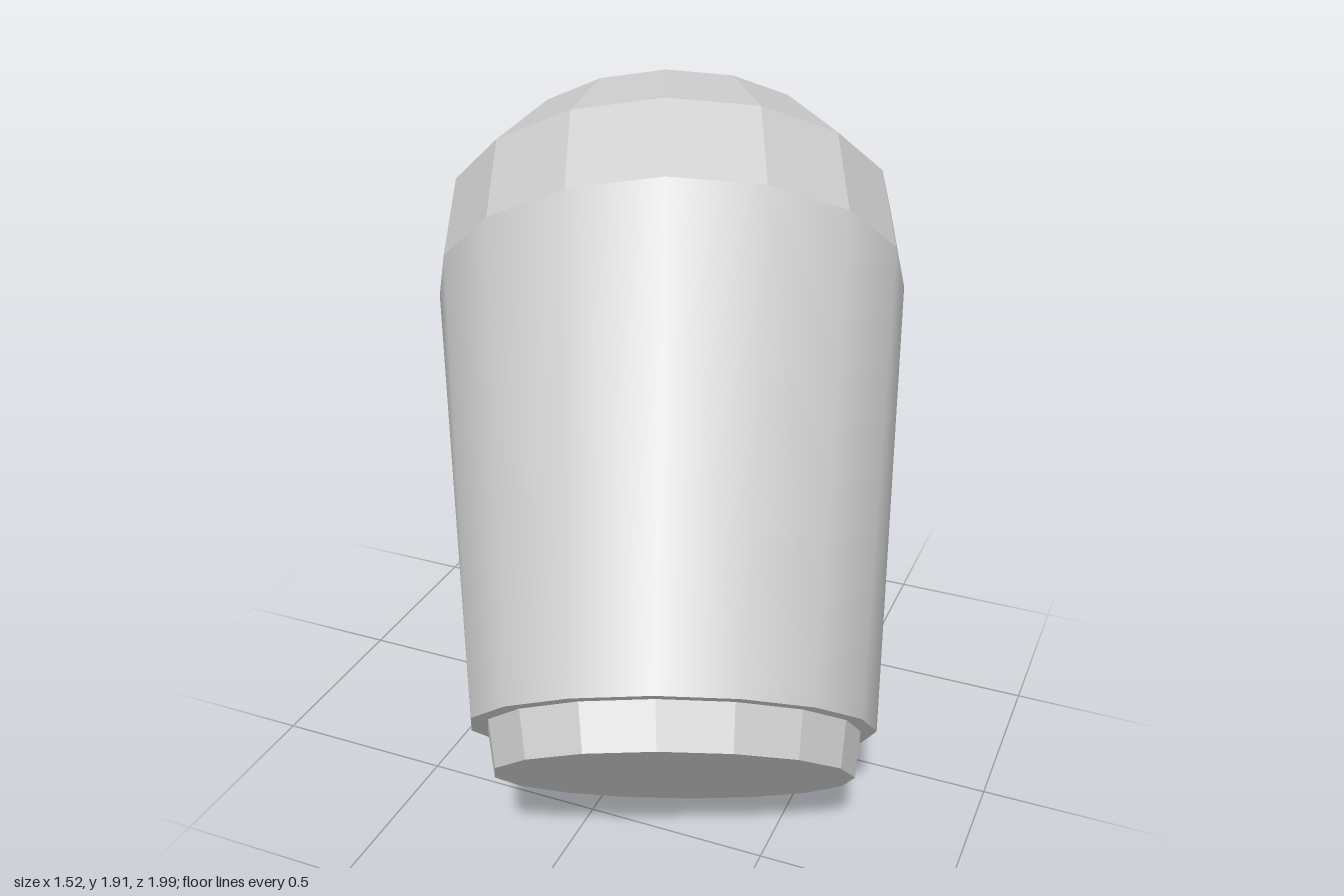
import * as THREE from 'three';

const SIDES = 16;
const SPOUT_ANGLE = THREE.MathUtils.degToRad(56.25);
const flat = new THREE.MeshStandardMaterial({ color: 0xcccccc, flatShading: true });
const smooth = new THREE.MeshStandardMaterial({ color: 0xcccccc });

// Profile points are [radius, height], listed from bottom to top
function lathe(name, profile, material) {
  const points = profile.map(([r, h]) => new THREE.Vector2(r, h));
  const mesh = new THREE.Mesh(new THREE.LatheGeometry(points, SIDES), material);
  mesh.name = name;
  return mesh;
}

// The low end of the cup is oval: longer towards the spout, narrower across
function ovalFoot(mesh) {
  const pos = mesh.geometry.attributes.position;
  const s = Math.sin(SPOUT_ANGLE), c = Math.cos(SPOUT_ANGLE);
  for (let i = 0; i < pos.count; i++) {
    if (pos.getY(i) > 0.2) continue;
    const along = (pos.getX(i) * s + pos.getZ(i) * c) * 1.09;
    const across = (pos.getX(i) * c - pos.getZ(i) * s) * 0.91;
    pos.setX(i, along * s + across * c);
    pos.setZ(i, along * c - across * s);
  }
  return mesh;
}

// Faceted drinking spout rising from the rim of the lid
function createSpout(rimHeight) {
  const point = (r, degrees, h) => {
    const a = SPOUT_ANGLE + THREE.MathUtils.degToRad(degrees);
    return new THREE.Vector3(r * Math.sin(a), rimHeight + h, r * Math.cos(a));
  };
  // Rows of [radius, half angle, height] up the front and back to the lid's flat top
  const rows = [[0.645, 11.25, 0], [0.643, 12.45, 0.133], [0.549, 9.85, 0.243], [0.25, 11.25, 0.308]];
  const left = rows.map(([r, a, h]) => point(r, -a, h));
  const right = rows.map(([r, a, h]) => point(r, a, h));
  const leftCorner = point(0.472, -33.75, 0.195);
  const rightCorner = point(0.472, 33.75, 0.195);
  const triangles = [];
  for (let i = 0; i < rows.length - 1; i++) {
    triangles.push(left[i], right[i], right[i + 1], left[i], right[i + 1], left[i + 1]);
    triangles.push(right[i], rightCorner, right[i + 1]);
    triangles.push(left[i], left[i + 1], leftCorner);
  }
  const geometry = new THREE.BufferGeometry().setFromPoints(triangles);
  geometry.computeVertexNormals();
  const mesh = new THREE.Mesh(geometry, flat);
  mesh.name = 'spout';
  return mesh;
}

export function createModel() {
  const model = new THREE.Group();
  model.name = 'cup';
  const cup = new THREE.Group();
  cup.name = 'tiltedCup';

  // Recessed foot, tapered body with its underside, and domed lid
  cup.add(ovalFoot(lathe('foot', [[0, 0], [0.45, 0], [0.47, 0.12]], flat)));
  cup.add(ovalFoot(lathe('bodyUnderside', [[0.46, 0.12], [0.511, 0.12]], flat)));
  cup.add(ovalFoot(lathe('body', [[0.511, 0.12], [0.67, 1.385]], smooth)));
  cup.add(lathe('lid', [[0.67, 1.385], [0.645, 1.627], [0.472, 1.822], [0.25, 1.935], [0, 1.935]], flat));
  cup.add(createSpout(1.627));

  // Tip the cup onto its leaning axis
  const axis = new THREE.Vector3(-0.285, 0.688, -0.667).normalize();
  const start = new THREE.Vector3(0.949, 0.3, -0.096);
  start.addScaledVector(axis, -start.dot(axis)).normalize();
  const across = new THREE.Vector3().crossVectors(axis, start);
  const tilt = new THREE.Matrix4().makeBasis(across, axis, start).setPosition(0.31, 0.316, 0.644);
  cup.applyMatrix4(tilt);

  model.add(cup);
  return model;
}
